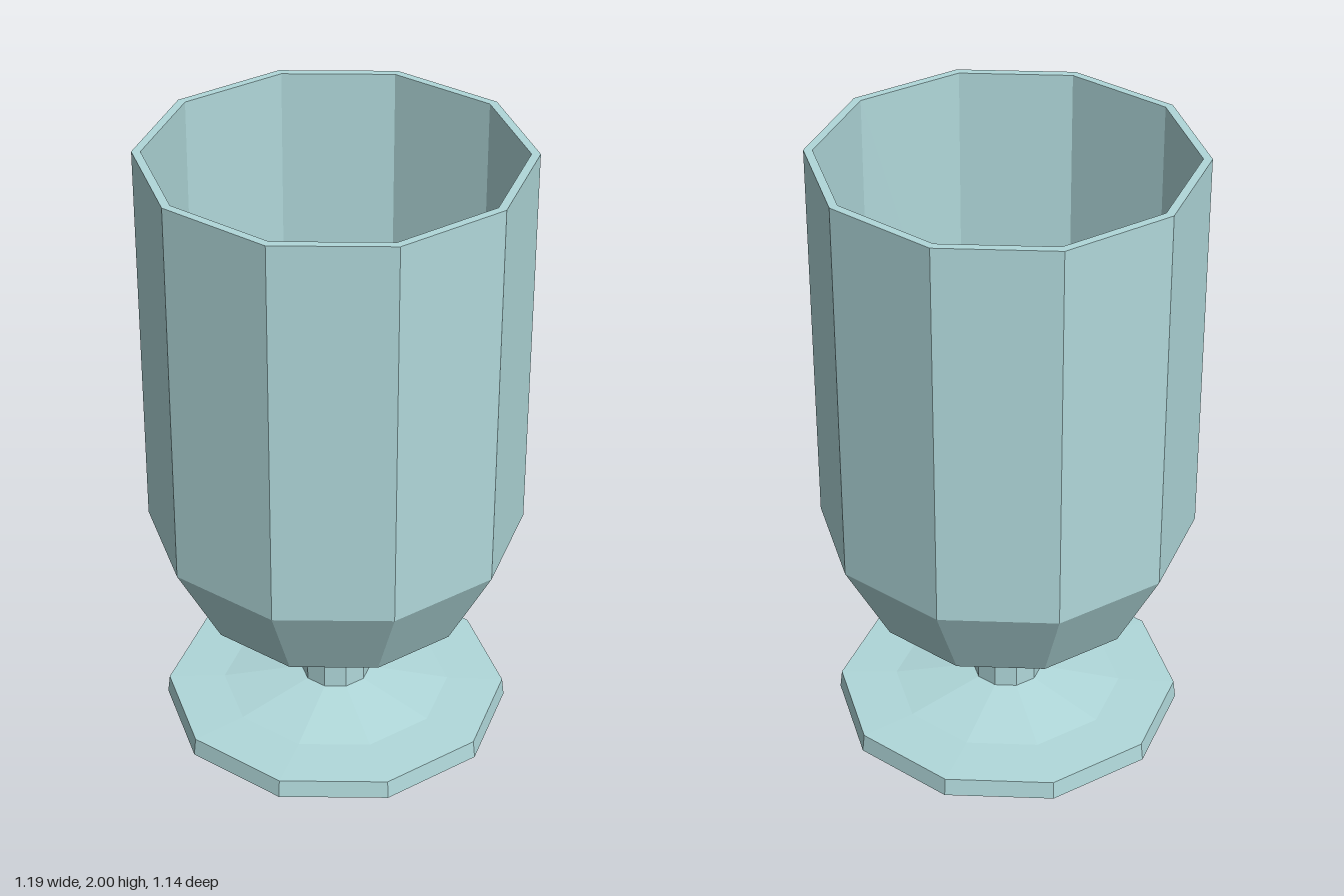
import * as THREE from 'three';

const SIDES = 10;
const START = Math.PI / 2 - 0.018; // a corner lies almost exactly on +x

const glass = new THREE.MeshStandardMaterial({ color: 0xb0d8da, flatShading: true });

// Ten-sided turned part; the profile runs [radius, height] with the outside going up
function turned(name, profile) {
  const points = profile.map(([r, y]) => new THREE.Vector2(r, y));
  const mesh = new THREE.Mesh(new THREE.LatheGeometry(points, SIDES, START), glass);
  mesh.name = name;
  return mesh;
}

export function createModel() {
  const goblet = new THREE.Group();
  goblet.name = 'goblet';

  // Foot: flat underside, thin rim, shallow slope up to the stem
  goblet.add(turned('foot', [
    [0, 0], [0.56, 0], [0.553, 0.06], [0.37, 0.066], [0.113, 0.11],
  ]));

  // Stem
  goblet.add(turned('stem', [[0.113, 0.11], [0.113, 0.34]]));

  // Bowl: outside wall, rim, then the inside wall down to the hollow floor
  goblet.add(turned('bowl', [
    [0.113, 0.34], [0.445, 0.435], [0.597, 0.725], [0.597, 2],
    [0.57, 2], [0.57, 0.732], [0.425, 0.455], [0, 0.335],
  ]));

  for (const part of goblet.children) part.position.x = -0.003;
  return goblet;
}
